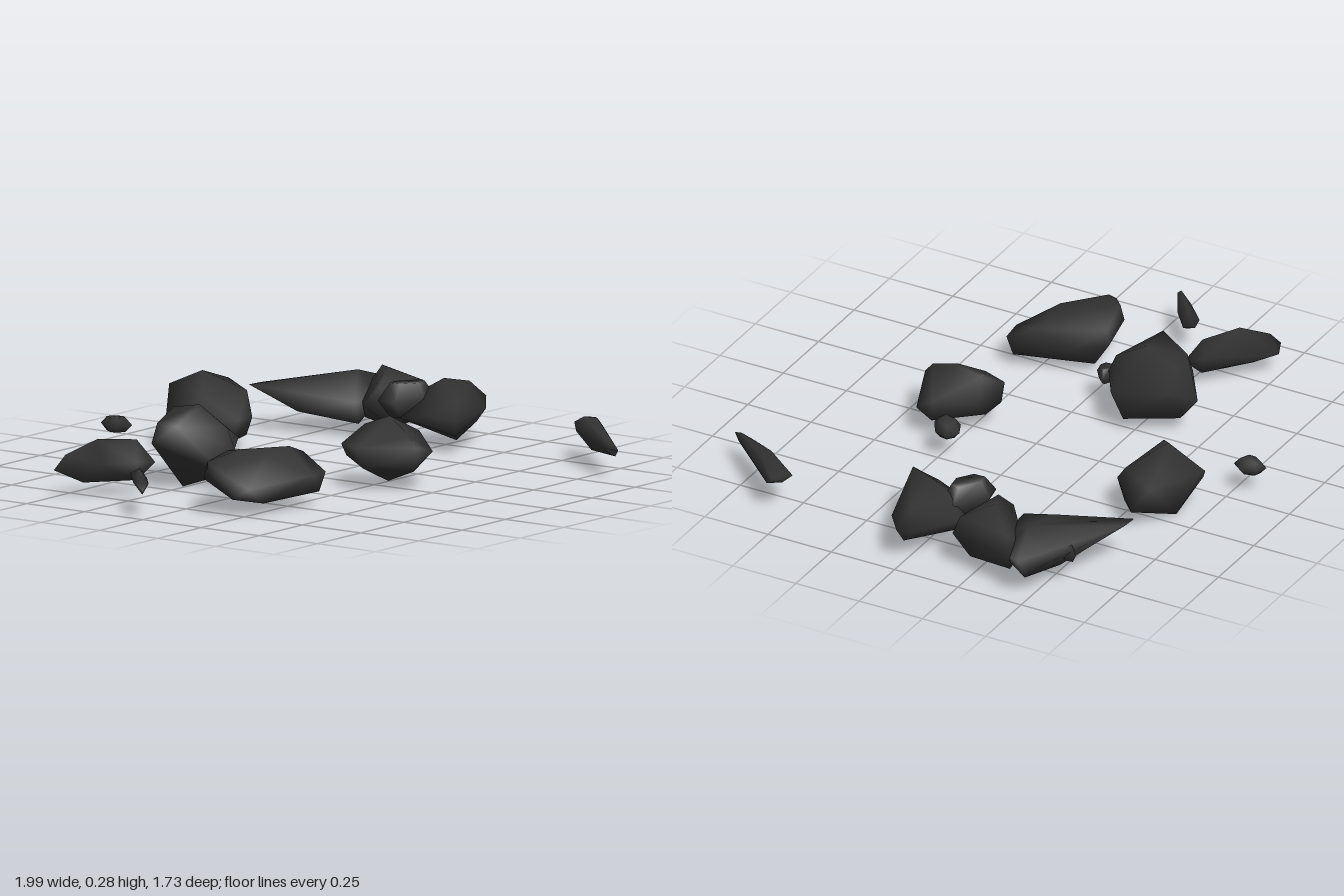
import * as THREE from 'three';
import { ConvexGeometry } from 'three/addons/geometries/ConvexGeometry.js';
import { mergeVertices } from 'three/addons/utils/BufferGeometryUtils.js';

const stone = new THREE.MeshStandardMaterial({ color: 0x333333 });
stone.name = 'charcoal stone';

// One faceted rock with softly blended normals.
// rim: [x, z, y] around the outline; crown and base: the high and low corners.
function rock(name, rim, crown, base) {
  const points = [...rim, ...crown, ...base].map(([x, z, y]) => new THREE.Vector3(x, y, z));
  let geometry = new ConvexGeometry(points);
  geometry.deleteAttribute('normal');
  geometry = mergeVertices(geometry, 1e-4);
  geometry.computeVertexNormals();
  const mesh = new THREE.Mesh(geometry, stone);
  mesh.name = name;
  return mesh;
}

// Small pebble: outline at mid height, shrunk towards its top and bottom.
function pebble(name, outline, low, high) {
  const n = outline.length;
  const cx = outline.reduce((s, p) => s + p[0], 0) / n;
  const cz = outline.reduce((s, p) => s + p[1], 0) / n;
  const ring = (k, y) => outline.map(([x, z]) => [cx + (x - cx) * k, cz + (z - cz) * k, y]);
  return rock(name, ring(1, (low + high) / 2), ring(0.6, high), ring(0.6, low));
}

export function createModel() {
  const group = new THREE.Group();
  group.name = 'scatteredRocks';
  group.add(
    // Large rocks
    rock('backRock',
      [[0.2, -0.78, 0.21], [0.41, -0.68, 0.21], [0.385, -0.59, 0.085], [0.25, -0.46, 0.12],
        [0.17, -0.46, 0.12], [0.04, -0.54, 0.12], [0.07, -0.7, 0.1]],
      [[0.19, -0.63, 0.275], [0.08, -0.55, 0.21], [0.3, -0.52, 0.2]],
      [[0.19, -0.66, 0], [0.08, -0.56, 0.06], [0.16, -0.48, 0.045], [0.27, -0.5, 0.05]]),
    rock('middleRock',
      [[-0.3, -0.47, 0.15], [-0.215, -0.4, 0.205], [-0.205, -0.18, 0.15], [-0.35, -0.09, 0.14],
        [-0.54, -0.2, 0.235], [-0.52, -0.25, 0.14], [-0.48, -0.35, 0.15]],
      [[-0.35, -0.24, 0.28], [-0.31, -0.38, 0.25], [-0.35, -0.12, 0.21], [-0.46, -0.34, 0.22]],
      [[-0.42, -0.26, 0], [-0.22, -0.22, 0.05], [-0.32, -0.39, 0.05], [-0.36, -0.12, 0.05]]),
    rock('leftRock',
      [[-0.8, 0.13, 0.14], [-0.73, 0.06, 0.11], [-0.53, 0.01, 0.12], [-0.455, 0.1, 0.12],
        [-0.41, 0.25, 0.18], [-0.415, 0.35, 0.12], [-0.5, 0.36, 0.12], [-0.765, 0.28, 0.1]],
      [[-0.6, 0.12, 0.2], [-0.45, 0.22, 0.2], [-0.6, 0.24, 0.19], [-0.78, 0.15, 0.16],
        [-0.72, 0.07, 0.17], [-0.54, 0.02, 0.175]],
      [[-0.71, 0.17, 0.045], [-0.52, 0.06, 0.04], [-0.425, 0.33, 0.05], [-0.68, 0.28, 0.04]]),
    rock('frontRock',
      [[-0.125, 0.27, 0.15], [-0.09, 0.175, 0.15], [-0.04, 0.16, 0.1], [0.08, 0.19, 0.14],
        [0.18, 0.31, 0.17], [0.15, 0.39, 0.11], [-0.02, 0.45, 0.155], [-0.01, 0.445, 0.09], [-0.09, 0.37, 0.1]],
      [[0.02, 0.3, 0.245], [-0.02, 0.42, 0.19], [0, 0.21, 0.21]],
      [[0, 0.31, 0.02], [0.15, 0.33, 0.075], [-0.12, 0.29, 0.08], [0, 0.42, 0.065], [0, 0.2, 0.06]]),

    // Slim shards
    rock('leftShard',
      [[-0.87, -0.48, 0.1], [-0.82, -0.5, 0.085], [-0.7, -0.41, 0.12], [-0.575, -0.335, 0.14],
        [-0.58, -0.26, 0.11], [-0.67, -0.27, 0.12], [-0.78, -0.335, 0.12]],
      [[-0.74, -0.39, 0.2], [-0.62, -0.31, 0.19], [-0.83, -0.46, 0.15]],
      [[-0.78, -0.42, 0.05], [-0.63, -0.3, 0.05]]),
    rock('outerSliver',
      [[-0.998, 0, 0.1], [-0.935, -0.09, 0.11], [-0.84, -0.175, 0.12], [-0.8, -0.18, 0.11],
        [-0.795, -0.135, 0.1], [-0.88, -0.065, 0.1]],
      [[-0.98, -0.025, 0.125], [-0.83, -0.14, 0.14]],
      [[-0.99, -0.01, 0.085], [-0.85, -0.12, 0.065]]),
    rock('frontSliver',
      [[0.59, 0.86, 0.1], [0.6, 0.79, 0.1], [0.75, 0.56, 0.11], [0.8, 0.515, 0.13],
        [0.865, 0.52, 0.14], [0.875, 0.575, 0.12], [0.77, 0.67, 0.11]],
      [[0.71, 0.65, 0.145], [0.76, 0.66, 0.145], [0.82, 0.54, 0.148], [0.87, 0.56, 0.14], [0.6, 0.83, 0.112]],
      [[0.69, 0.67, 0.065], [0.75, 0.67, 0.07], [0.83, 0.54, 0.11], [0.6, 0.84, 0.075]]),

    // Overlapping cluster on the right
    rock('clusterFrontRock',
      [[0.62, -0.1, 0.1], [0.78, -0.13, 0.12], [0.93, -0.05, 0.13], [0.97, 0.01, 0.14],
        [0.86, 0.09, 0.12], [0.6, 0.16, 0.12], [0.58, 0.06, 0.13]],
      [[0.74, 0, 0.235], [0.9, -0.01, 0.2], [0.62, 0.14, 0.18], [0.74, -0.1, 0.18]],
      [[0.73, 0.06, 0.025], [0.9, 0.02, 0.06], [0.62, 0.14, 0.065], [0.76, -0.1, 0.065]]),
    rock('clusterMiddleRock',
      [[0.605, -0.25, 0.13], [0.82, -0.415, 0.12], [0.96, -0.43, 0.15], [0.895, -0.17, 0.14],
        [0.65, -0.17, 0.13]],
      [[0.79, -0.28, 0.235], [0.92, -0.4, 0.21], [0.66, -0.22, 0.19], [0.86, -0.18, 0.19]],
      [[0.74, -0.21, 0.035], [0.86, -0.22, 0.045], [0.9, -0.4, 0.065], [0.78, -0.37, 0.05]]),
    rock('clusterBackShard',
      [[0.54, -0.69, 0.165], [0.6, -0.685, 0.165], [0.8, -0.58, 0.15], [0.945, -0.535, 0.13],
        [0.99, -0.48, 0.16], [0.92, -0.38, 0.13], [0.78, -0.31, 0.12], [0.64, -0.31, 0.13]],
      [[0.68, -0.47, 0.19], [0.82, -0.43, 0.205]],
      [[0.62, -0.54, 0.075], [0.76, -0.52, 0.045], [0.92, -0.47, 0.06], [0.73, -0.36, 0.035]]),
    pebble('clusterChip',
      [[0.77, -0.57], [0.81, -0.61], [0.815, -0.57], [0.8, -0.54]], 0.1, 0.16),
    pebble('clusterPebble',
      [[0.585, -0.17], [0.65, -0.18], [0.77, -0.1], [0.755, -0.045], [0.68, -0.035], [0.59, -0.1]], 0.1, 0.22),

    // Loose pebbles
    pebble('backPebble',
      [[-0.11, -0.82], [-0.08, -0.865], [-0.04, -0.85], [-0.025, -0.79], [-0.055, -0.75], [-0.11, -0.775]], 0.08, 0.13),
    pebble('middlePebble',
      [[-0.415, -0.085], [-0.37, -0.105], [-0.325, -0.08], [-0.335, -0.06], [-0.375, -0.03], [-0.41, -0.045]], 0.085, 0.14),
    pebble('frontPebble',
      [[0.155, 0.27], [0.175, 0.2], [0.23, 0.175], [0.27, 0.205], [0.26, 0.255], [0.2, 0.29]], 0.08, 0.135),
  );
  return group;
}
